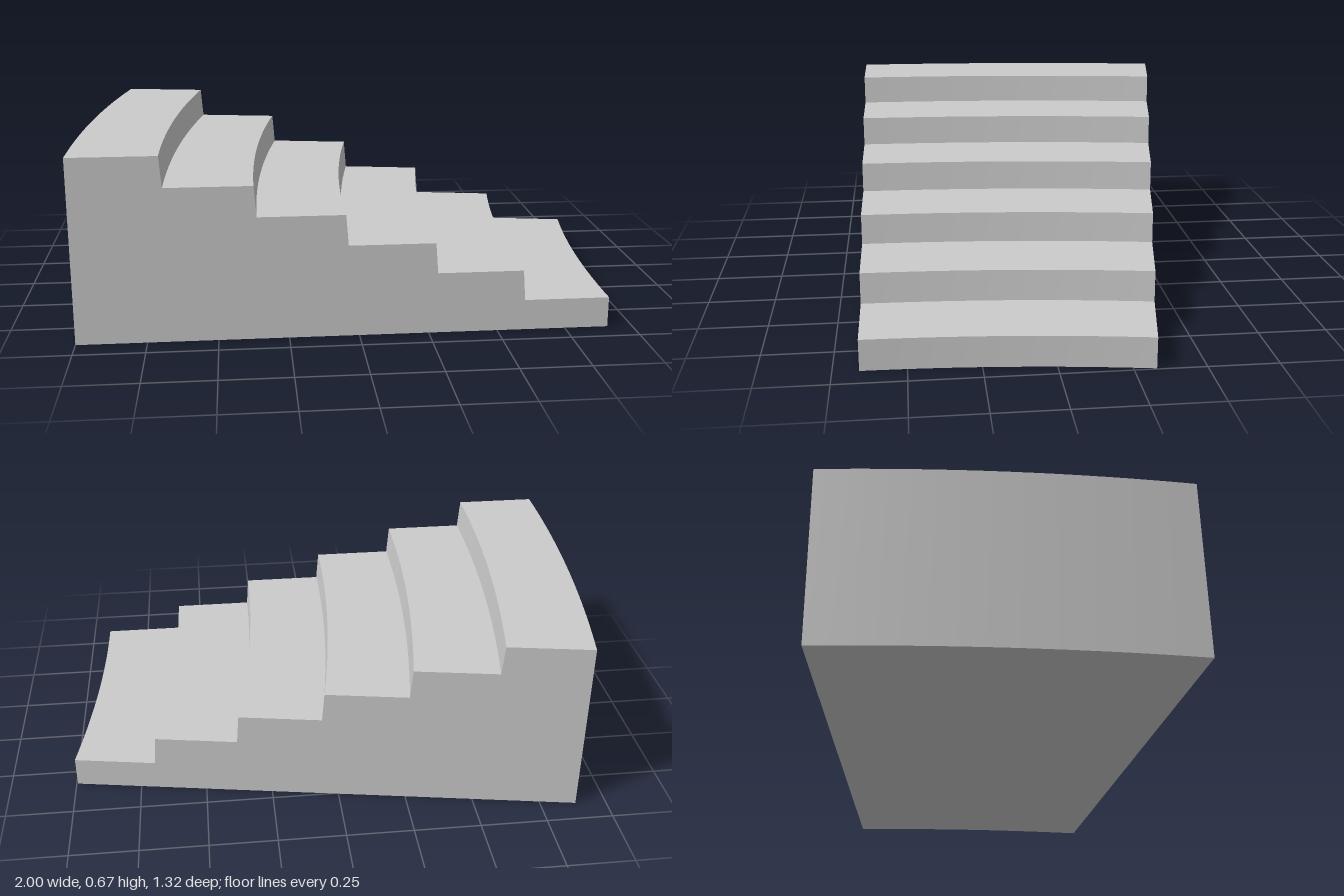
import * as THREE from 'three';
import { toCreasedNormals } from 'three/addons/utils/BufferGeometryUtils.js';

const STEPS = 6, HEIGHT = 0.673, RISE = HEIGHT / STEPS;
const LEFT = -1, RIGHT = 0.909, TREAD = 0.319, RAKE = 0.009;
const CENTRE_X = 6.6, FRONT_Z = 0.66, SWEEP = THREE.MathUtils.degToRad(10);

// Stepped side profile, with slightly raked risers
function stairProfile() {
  const shape = new THREE.Shape();
  shape.moveTo(LEFT, 0);
  shape.lineTo(RIGHT, 0);
  shape.lineTo(RIGHT, RISE);
  for (let i = 1; i < STEPS; i++) {
    const x = RIGHT - i * TREAD;
    shape.lineTo(x + RAKE, i * RISE);
    shape.lineTo(x, (i + 1) * RISE);
  }
  shape.lineTo(LEFT, HEIGHT);
  return shape;
}

// Bend the straight extrusion (z = 0 to -1) round a distant vertical axis
function bend(geometry) {
  const p = geometry.attributes.position;
  for (let i = 0; i < p.count; i++) {
    const a = -p.getZ(i) * SWEEP;
    const r = CENTRE_X - p.getX(i);
    p.setX(i, CENTRE_X - r * Math.cos(a));
    p.setZ(i, FRONT_Z - r * Math.sin(a));
  }
  return geometry;
}

export function createModel() {
  const group = new THREE.Group();
  group.name = 'curvedStairs';
  const straight = new THREE.ExtrudeGeometry(stairProfile(), {
    depth: 1, steps: 16, bevelEnabled: false,
  }).translate(0, 0, -1);
  // Solid block of six curved steps
  const stairs = new THREE.Mesh(
    toCreasedNormals(bend(straight), 0.3),
    new THREE.MeshStandardMaterial({ color: 0xcccccc }),
  );
  stairs.name = 'stairBlock';
  group.add(stairs);
  return group;
}
